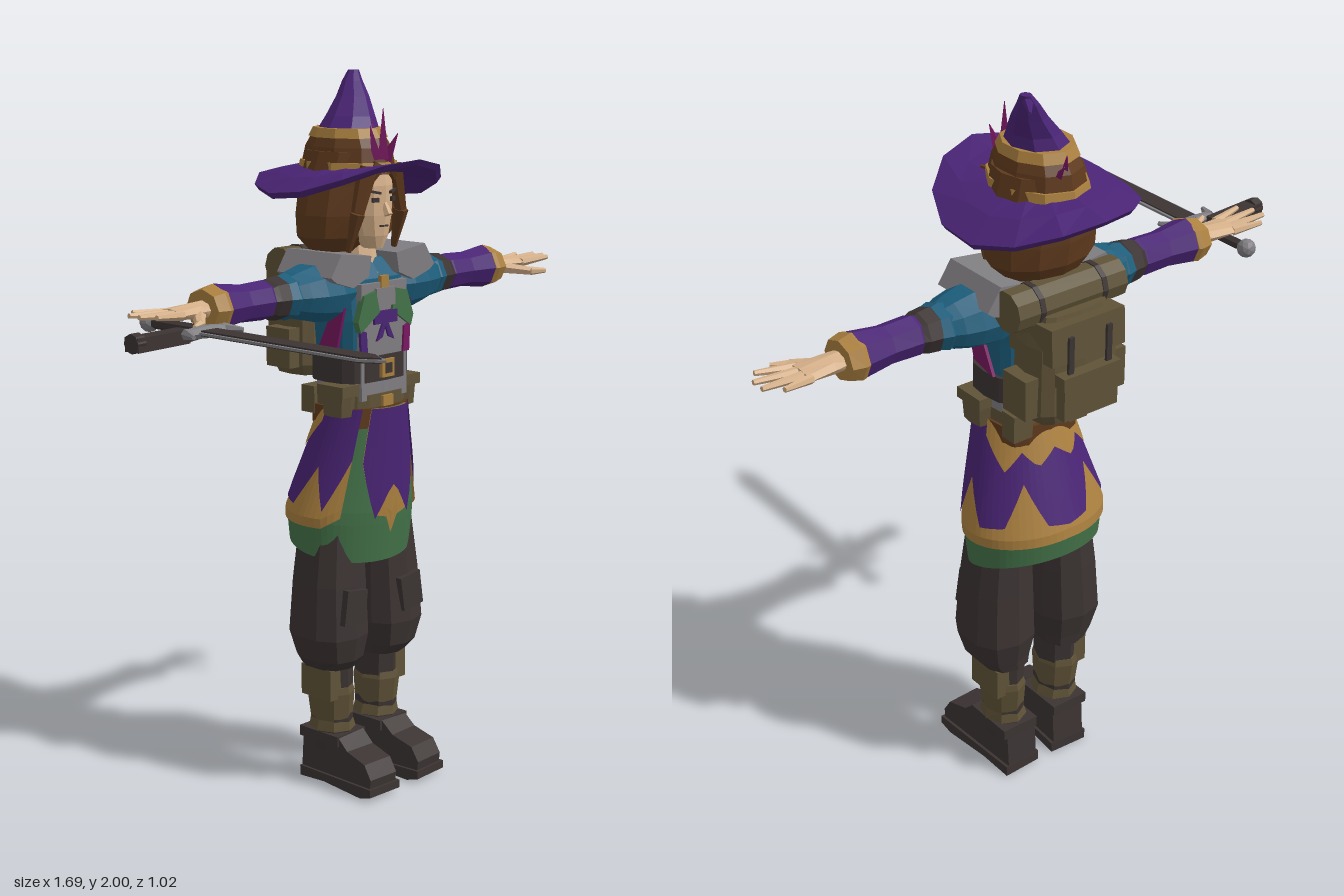
import * as THREE from 'three';

const mat = (name, color) => {
  const m = new THREE.MeshStandardMaterial({ color, flatShading: true, side: THREE.DoubleSide });
  m.name = name;
  return m;
};
const purple = mat('purple cloth', 0x4a2475), ochre = mat('ochre trim', 0xab803f), green = mat('green cloth', 0x447349),
  teal = mat('teal cloth', 0x1d5e7c), grey = mat('grey cloth and steel', 0x807e82), dark = mat('dark leather', 0x3c3433),
  olive = mat('olive canvas', 0x605338), skin = mat('skin', 0xd6b18a), brown = mat('brown hair', 0x5f3a1d),
  magenta = mat('magenta', 0x791861);

const V = (x, y, z) => new THREE.Vector3(x, y, z);
const add = (parent, name, geo, material, x = 0, y = 0, z = 0) => {
  const m = new THREE.Mesh(geo, material);
  m.name = name;
  m.position.set(x, y, z);
  parent.add(m);
  return m;
};
const box = (p, name, material, w, h, d, x, y, z) => add(p, name, new THREE.BoxGeometry(w, h, d), material, x, y, z);

// Grid of quads from fn(u, v)
function grid(fn, nu, nv, cap = false) {
  const pos = [], idx = [], w = nu + 1;
  for (let i = 0; i <= nv; i++) for (let j = 0; j <= nu; j++) pos.push(...fn(j / nu, i / nv, i));
  for (let i = 0; i < nv; i++) for (let j = 0; j < nu; j++) {
    const a = i * w + j;
    idx.push(a, a + 1, a + w + 1, a, a + w + 1, a + w);
  }
  if (cap) for (let j = 1; j < nu - 1; j++) {
    const t = nv * w;
    idx.push(0, j + 1, j, t, t + j, t + j + 1);
  }
  const g = new THREE.BufferGeometry();
  g.setAttribute('position', new THREE.Float32BufferAttribute(pos, 3));
  g.setIndex(idx);
  const out = g.toNonIndexed();
  out.computeVertexNormals();
  return out;
}
// Closed solid through rings [y, rx, rz, cx, cz]; power below 1 is boxier
function loft(rings, n = 10, power = 1) {
  const pw = (v) => Math.sign(v) * Math.abs(v) ** power;
  return grid((u, v, i) => {
    const [y, rx, rz, cx = 0, cz = 0] = rings[i], a = u * Math.PI * 2;
    return [cx + rx * pw(Math.sin(a)), y, cz + rz * pw(Math.cos(a))];
  }, n, rings.length - 1, true);
}
// Tapered round bar between two points
function bar(p, name, material, a, b, ra, rb, n = 6) {
  const d = b.clone().sub(a);
  const m = add(p, name, new THREE.CylinderGeometry(rb, ra, d.length(), n), material);
  m.position.copy(a).addScaledVector(d, 0.5);
  m.quaternion.setFromUnitVectors(V(0, 1, 0), d.normalize());
  return m;
}
// Flat outline pushed out by depth
function plate(points, depth) {
  const g = new THREE.ExtrudeGeometry(new THREE.Shape(points.map((q) => new THREE.Vector2(...q))), { depth, bevelEnabled: false });
  return g.translate(0, 0, -depth / 2);
}
// Piecewise linear lookup in [key, value] pairs
const look = (table, k) => {
  let i = 0;
  while (i < table.length - 2 && k > table[i + 1][0]) i++;
  const [a, b] = [table[i], table[i + 1]];
  return a[1] + (b[1] - a[1]) * THREE.MathUtils.clamp((k - a[0]) / (b[0] - a[0]), 0, 1);
};

// Layered skirt, angles in degrees from the front
const skirtX = [[0.66, 0.19], [0.8, 0.2], [1.0, 0.14], [1.12, 0.105]];
const skirtZ = [[0.66, 0.14], [0.8, 0.155], [1.0, 0.12], [1.12, 0.1]];
function panel(p, name, material, lo, hi, a0, a1, off) {
  const geo = grid((u, v) => {
    const deg = a0 + (a1 - a0) * u, a = deg * Math.PI / 180, k = Math.abs(deg > 180 ? 360 - deg : deg);
    const y = lo(k) + (hi(k) - lo(k)) * v;
    return [(look(skirtX, y) + off) * Math.sin(a), y, (look(skirtZ, y) + off) * Math.cos(a) - 0.03 + 0.2 * Math.max(0, y - 0.8)];
  }, Math.max(4, Math.round(Math.abs(a1 - a0) / 6)), 12);
  add(p, name, geo, material);
}
function skirt(p) {
  const top = () => 1.1, tail = (k) => 0.66 + 0.07 * (1 - Math.cos(k * Math.PI / 180)) / 2;
  panel(p, 'underskirt', green, tail, top, 0, 360, 0);
  const frontLow = [[0, 0.74], [6, 0.79], [18, 0.8], [36, 0.95]], frontMid = [[0, 0.88], [6, 0.86], [18, 0.79], [36, 0.95]];
  panel(p, 'frontTrim', ochre, (k) => look(frontLow, k), top, -36, 36, 0.005);
  panel(p, 'frontPanel', purple, (k) => look(frontMid, k), top, -36, 36, 0.01);
  const zig = [[48, 0.96], [66, 0.82], [84, 0.94], [102, 0.83], [126, 0.84], [144, 0.95], [162, 0.84], [180, 0.83]];
  panel(p, 'overskirtTrim', ochre, (k) => look([[48, 0.8], [66, 0.77], [180, 0.79]], k), top, 48, 312, 0.006);
  panel(p, 'overskirt', purple, (k) => look(zig, k), top, 48, 312, 0.012);
  panel(p, 'backSash', ochre, (k) => look([[102, 1.06], [126, 0.98], [144, 1.03], [160, 0.99], [180, 1.03]], k), top, 102, 258, 0.017);
}

function leg(p, s) {
  const g = new THREE.Group();
  g.name = s > 0 ? 'leftLeg' : 'rightLeg';
  p.add(g);
  add(g, 'trousers', loft([[0.35, 0.065, 0.08, s * 0.1, -0.02], [0.38, 0.08, 0.095, s * 0.108, -0.01], [0.45, 0.098, 0.11, s * 0.112, -0.01],
    [0.6, 0.092, 0.1, s * 0.108, -0.01], [0.74, 0.08, 0.09, s * 0.1, -0.01], [0.95, 0.07, 0.085, s * 0.075, -0.01]], 10, 0.8), dark);
  box(g, 'kneePatch', dark, 0.08, 0.1, 0.02, s * 0.115, 0.54, 0.092).rotation.z = s * 0.15;
  add(g, 'shin', loft([[0.1, 0.052, 0.065, s * 0.09, -0.02], [0.36, 0.058, 0.068, s * 0.095, -0.02]], 8), dark);
  add(g, 'gaiter', loft([[0.16, 0.062, 0.07, s * 0.09, -0.02], [0.19, 0.054, 0.065, s * 0.092, -0.02], [0.27, 0.06, 0.074, s * 0.095, -0.02],
    [0.29, 0.057, 0.07, s * 0.097, -0.02]], 8), olive);
  box(g, 'gaiterFlap', olive, 0.05, 0.09, 0.115, s * 0.13, 0.305, -0.02);
  const side = [[-0.1, 0.02], [-0.09, 0.155], [0.05, 0.155], [0.09, 0.12], [0.16, 0.1], [0.185, 0.06], [0.18, 0.02]];
  const boot = add(g, 'boot', plate(side, 0.1), dark, s * 0.087);
  boot.rotation.y = -Math.PI / 2 + s * 0.05;
  const sole = [[-0.1, 0], [-0.1, 0.03], [0.19, 0.035], [0.19, 0.012], [0.15, 0], [0, 0.008]];
  add(g, 'sole', plate(sole, 0.116), dark, s * 0.087).rotation.y = -Math.PI / 2 + s * 0.05;
  box(g, 'bootCuff', dark, 0.114, 0.03, 0.15, s * 0.088, 0.14, -0.022);
}

function arm(p, s) {
  const g = new THREE.Group();
  g.name = s > 0 ? 'leftArm' : 'rightArm';
  g.position.y = 1.42;
  p.add(g);
  // Sleeve pieces run along the arm
  const sleeve = (name, material, rings, n = 8) => { add(g, name, loft(rings, n), material).rotation.z = -s * Math.PI / 2; };
  sleeve('shoulderSleeve', teal, [[0.08, 0.07, 0.085], [0.14, 0.085, 0.095], [0.2, 0.078, 0.092], [0.25, 0.066, 0.08], [0.28, 0.055, 0.065]], 10);
  sleeve('upperSleeve', teal, [[0.24, 0.05, 0.055], [0.28, 0.064, 0.07], [0.32, 0.052, 0.058]]);
  sleeve('elbowStrap', dark, [[0.29, 0.05, 0.055], [0.305, 0.06, 0.062], [0.34, 0.056, 0.058], [0.36, 0.045, 0.05]]);
  sleeve('forearmSleeve', purple, [[0.33, 0.045, 0.045], [0.36, 0.053, 0.053], [0.44, 0.05, 0.052], [0.53, 0.062, 0.064]]);
  sleeve('cuff', ochre, [[0.522, 0.06, 0.066], [0.535, 0.062, 0.07], [0.57, 0.052, 0.062]]);
  const hand = (a, b, ra, rb, name) => bar(g, name, skin, V(s * a[0], a[1], a[2]), V(s * b[0], b[1], b[2]), ra, rb);
  sleeve('palm', skin, [[0.55, 0.025, 0.03], [0.6, 0.022, 0.038], [0.68, 0.014, 0.048]]);
  [[-0.035, -0.055, 0.755], [-0.012, -0.02, 0.795], [0.012, 0.018, 0.795], [0.036, 0.055, 0.77]].forEach(([z0, z1, t]) =>
    hand([0.67, 0, z0], [t, 0.008, z1], 0.013, 0.007, 'finger'));
  hand([0.6, -0.01, 0.02], [0.655, -0.02, 0.085], 0.018, 0.013, 'thumb');
  hand([0.655, -0.02, 0.085], [0.695, -0.02, 0.11], 0.013, 0.007, 'thumbTip');
}

function torso(p) {
  add(p, 'vest', loft([[1.12, 0.105, 0.085, 0, 0.01], [1.24, 0.122, 0.085, 0, 0.01], [1.34, 0.128, 0.09, 0, 0.01], [1.45, 0.13, 0.09, 0, 0],
    [1.5, 0.08, 0.06, 0, -0.01]], 16, 0.6), teal);
  box(p, 'shirt', grey, 0.18, 0.32, 0.02, 0, 1.28, 0.092);
  box(p, 'shirtBand', grey, 0.075, 0.05, 0.03, 0, 1.4, 0.095);
  box(p, 'chestLacing', purple, 0.09, 0.035, 0.02, 0, 1.345, 0.1);
  add(p, 'chestLacingTails', plate([[0, 1.35], [0.035, 1.28], [0.012, 1.29], [0, 1.32], [-0.012, 1.29], [-0.035, 1.28]], 0.016), purple, 0, 0, 0.1);
  for (const s of [-1, 1]) {
    add(p, 'lapel', plate([[s * 0.025, 1.36], [s * 0.1, 1.31], [s * 0.11, 1.34], [s * 0.085, 1.41], [s * 0.04, 1.42]], 0.02), green, 0, 0, 0.1);
    add(p, 'shirtStripe', plate([[s * 0.07, 1.24], [s * 0.095, 1.24], [s * 0.1, 1.32], [s * 0.075, 1.31]], 0.008), s > 0 ? magenta : purple, 0, 0, 0.104);
    const sidePatch = add(p, 'sidePatch', plate([[-0.03, 1.24], [0.05, 1.26], [0.08, 1.38], [0.03, 1.36]], 0.009), magenta, s * 0.13);
    sidePatch.rotation.y = -Math.PI / 2;
    // Stiff mantle over the shoulder
    add(p, 'mantle', plate([[s * 0.05, 1.515], [s * 0.165, 1.53], [s * 0.205, 1.47], [s * 0.185, 1.455], [s * 0.12, 1.435], [s * 0.06, 1.46]], 0.205), grey, 0, 0, 0);
    add(p, 'pouch', loft([[1.08, 0.032, 0.04], [1.14, 0.036, 0.045], [1.165, 0.034, 0.043]], 8, 0.5), olive, s * 0.118, 0, 0.045);
    box(p, 'pouchFlap', olive, 0.076, 0.03, 0.096, s * 0.118, 1.152, 0.045);
    box(p, 'backPouch', olive, 0.06, 0.075, 0.05, s * 0.09, 1.11, -0.075);
  }
  const belt = (name, material, y0, y1, rx, rz) => add(p, name, loft([[y0, rx, rz, 0, 0.01], [y1, rx, rz, 0, 0.01]], 16, 0.65), material);
  belt('wideBelt', dark, 1.17, 1.24, 0.133, 0.1);
  belt('waistWrap', grey, 1.13, 1.175, 0.118, 0.093);
  belt('lowBelt', olive, 1.09, 1.135, 0.118, 0.1);
  belt('hipWrap', brown, 1.045, 1.1, 0.125, 0.11);
  box(p, 'buckle', ochre, 0.05, 0.05, 0.012, 0, 1.205, 0.112);
  box(p, 'buckleCentre', dark, 0.026, 0.028, 0.014, 0, 1.205, 0.114);
  box(p, 'lowBuckle', ochre, 0.04, 0.035, 0.012, 0, 1.112, 0.112);
}

function head(p) {
  add(p, 'neck', loft([[1.44, 0.055, 0.05, 0, 0.02], [1.57, 0.042, 0.042, 0, 0]], 8), skin);
  add(p, 'collar', loft([[1.43, 0.065, 0.07, 0, 0.02], [1.465, 0.055, 0.06, 0, 0.02]], 8), grey);
  box(p, 'collarClasp', ochre, 0.03, 0.035, 0.012, 0, 1.44, 0.1);
  add(p, 'face', loft([[1.53, 0.025, 0.03, 0, 0.06], [1.565, 0.052, 0.062, 0, 0.04], [1.62, 0.07, 0.076, 0, 0.032], [1.7, 0.074, 0.08, 0, 0.03],
    [1.76, 0.07, 0.075, 0, 0.025]], 12), skin);
  add(p, 'hair', loft([[1.52, 0.11, 0.08, 0, -0.05], [1.56, 0.152, 0.107, 0, -0.045], [1.62, 0.155, 0.117, 0, -0.042], [1.7, 0.14, 0.12, 0, -0.04],
    [1.79, 0.11, 0.12, 0, -0.03]], 12), brown);
  bar(p, 'nose', skin, V(0, 1.66, 0.1), V(0, 1.622, 0.118), 0.006, 0.013, 5);
  box(p, 'mouth', dark, 0.03, 0.005, 0.008, 0, 1.592, 0.101);
  for (const s of [-1, 1]) {
    box(p, 'eye', dark, 0.02, 0.012, 0.008, s * 0.034, 1.663, 0.103).rotation.y = s * 0.35;
    box(p, 'eyebrow', dark, 0.032, 0.007, 0.008, s * 0.034, 1.684, 0.103).rotation.set(0, s * 0.35, s * 0.2);
    bar(p, 'frontLock', brown, V(s * 0.05, 1.75, 0.09), V(s * 0.085, 1.63, 0.085), 0.028, 0.018);
    bar(p, 'frontLockTip', brown, V(s * 0.085, 1.63, 0.085), V(s * 0.09, 1.525, 0.055), 0.022, 0.008);
    bar(p, 'fringe', brown, V(s * 0.02, 1.755, 0.1), V(s * 0.06, 1.7, 0.095), 0.02, 0.008);
  }
}

function hat(p) {
  const g = new THREE.Group();
  g.name = 'hat';
  g.position.z = -0.03;
  p.add(g);
  // Brim dips at the sides and lifts at front and back
  const profile = [[0.1, 1.75], [0.19, 0.006], [0.262, 0], [0.25, -0.016], [0.18, -0.015], [0.1, 1.735]];
  add(g, 'brim', grid((u, v, i) => {
    const a = u * Math.PI * 2, [r, h] = profile[5 - i], c = Math.cos(a), s = Math.sin(a);
    const edge = 1.752 * c * c + 1.675 * s * s + 0.025 * c - 0.012 * s;
    const k = r > 0.24 ? 1 : 0.45;
    return [r * 0.96 * s, h > 1 ? h : edge * k + 1.742 * (1 - k) + h, r * c];
  }, 14, 5), purple);
  add(g, 'crown', loft([[1.73, 0.118, 0.145], [1.8, 0.1, 0.13], [1.845, 0.08, 0.1]], 10), brown);
  add(g, 'crownTrim', loft([[1.738, 0.121, 0.15], [1.762, 0.117, 0.144]], 10), ochre);
  add(g, 'coneTrim', loft([[1.825, 0.096, 0.118], [1.85, 0.086, 0.104]], 10), ochre);
  add(g, 'cone', loft([[1.84, 0.08, 0.092], [1.88, 0.062, 0.072, 0.015, -0.005], [1.93, 0.042, 0.048, 0.045, -0.025],
    [1.97, 0.026, 0.03, 0.065, -0.045], [1.998, 0.014, 0.016, 0.08, -0.055]], 8), purple);
  bar(g, 'coneTip', purple, V(0.07, 1.983, -0.045), V(0.115, 1.978, -0.115), 0.016, 0.004);
  // Feathers
  [[0, 0.13, 0, 1.905, 0.13], [0.012, 0.13, 0.02, 1.84, 0.165], [-0.015, 0.12, -0.03, 1.86, 0.11], [0.01, 0.1, 0.015, 1.87, 0.075],
    [0, -0.1, 0.01, 1.85, -0.125], [0.02, -0.09, 0.03, 1.83, -0.14]].forEach(([x, z, x2, y2, z2]) =>
    bar(g, 'feather', magenta, V(x, 1.77, z), V(x2, y2, z2), 0.02, 0.001, 4));
}

function backpack(p) {
  add(p, 'pack', loft([[1.17, 0.115, 0.07], [1.2, 0.13, 0.08], [1.38, 0.125, 0.075], [1.46, 0.1, 0.055]], 12, 0.5), olive, 0, 0, -0.15);
  box(p, 'packFlap', olive, 0.23, 0.1, 0.17, 0, 1.395, -0.155).rotation.x = 0.06;
  box(p, 'packPocket', olive, 0.17, 0.11, 0.04, 0, 1.25, -0.235);
  box(p, 'pocketFlap', olive, 0.18, 0.035, 0.05, 0, 1.3, -0.234);
  bar(p, 'bedroll', olive, V(-0.17, 1.475, -0.13), V(0.17, 1.475, -0.13), 0.055, 0.055, 10);
  for (const s of [-1, 1]) {
    box(p, 'sidePocket', olive, 0.04, 0.11, 0.09, s * 0.14, 1.25, -0.15);
    box(p, 'packStrap', dark, 0.016, 0.1, 0.008, s * 0.06, 1.37, -0.245);
    bar(p, 'rollStrap', dark, V(s * 0.09, 1.475, -0.13), V(s * 0.105, 1.475, -0.13), 0.058, 0.058, 10);
  }
}

function weapons(p) {
  const blade = (w, tip) => [[-w, -0.1], [w, -0.1], [w, 0.45], [0, tip], [-w, 0.45]];
  add(p, 'swordBlade', plate(blade(0.027, 0.495), 0.014), dark, -0.625, 1.39).rotation.x = Math.PI / 2;
  add(p, 'swordEdge', plate(blade(0.035, 0.51), 0.006), grey, -0.625, 1.39).rotation.x = Math.PI / 2;
  bar(p, 'swordGrip', dark, V(-0.625, 1.39, -0.09), V(-0.625, 1.39, -0.29), 0.015, 0.015);
  add(p, 'pommel', new THREE.IcosahedronGeometry(0.026, 1), grey, -0.625, 1.39, -0.31);
  for (const s of [-1, 1]) {
    bar(p, 'swordGuard', grey, V(-0.625, 1.39, -0.1), V(-0.625 + s * 0.065, 1.39, -0.095), 0.018, 0.013);
    bar(p, 'guardTip', grey, V(-0.625 + s * 0.06, 1.39, -0.1), V(-0.625 + s * 0.082, 1.39, -0.05), 0.016, 0.006);
  }
  box(p, 'pistolBarrel', dark, 0.18, 0.036, 0.045, -0.757, 1.382, -0.125).rotation.y = 0.08;
  bar(p, 'pistolMuzzle', dark, V(-0.848, 1.385, -0.118), V(-0.82, 1.385, -0.12), 0.025, 0.025, 8);
  box(p, 'pistolGrip', dark, 0.1, 0.03, 0.035, -0.64, 1.378, -0.15).rotation.y = 0.3;
}

export function createModel() {
  const root = new THREE.Group(), body = new THREE.Group();
  root.name = 'travellingMage';
  body.name = 'body';
  body.position.set(0.045, 0, -0.22);
  root.add(body);
  [-1, 1].forEach((s) => { leg(body, s); arm(body, s); });
  [skirt, torso, head, hat, backpack].forEach((build) => build(body));
  weapons(root);
  return root;
}
